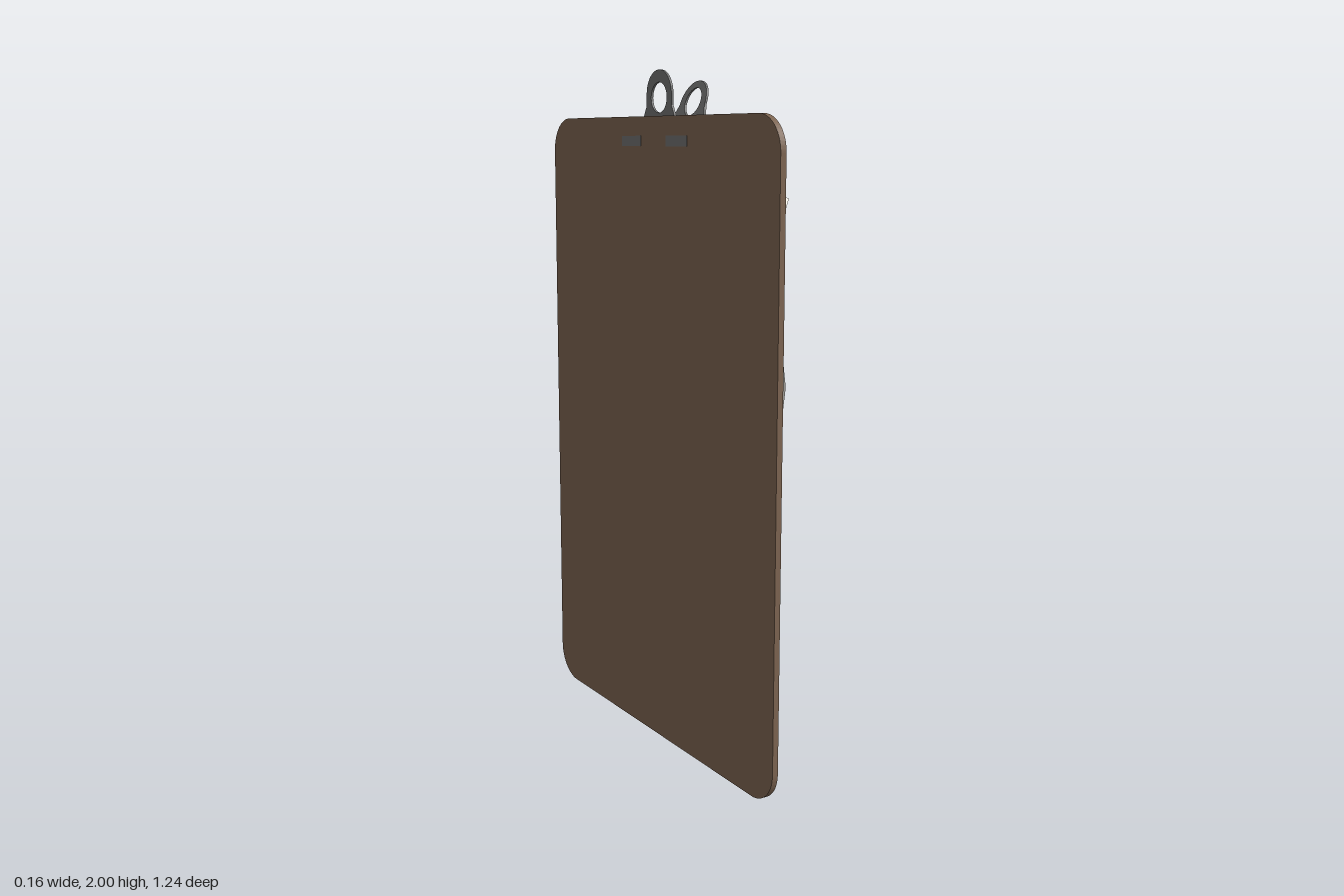
import * as THREE from 'three';
import { toCreasedNormals } from 'three/addons/utils/BufferGeometryUtils.js';

const mat = (name, color, side = THREE.FrontSide) =>
  Object.assign(new THREE.MeshStandardMaterial({ color, side }), { name });

// Symmetric plate outline: lower half-points (bottom to neck), then a round loop on top with a hole
function clipShape(half, loopY, loopR, holeY, holeR) {
  const s = new THREE.Shape();
  s.moveTo(-half[0][0], half[0][1]);
  half.forEach(([u, v]) => s.lineTo(u, v));
  s.absarc(0, loopY, loopR, 0, Math.PI, false);
  [...half].reverse().forEach(([u, v]) => s.lineTo(-u, v));
  const hole = new THREE.Path();
  hole.absarc(0, holeY, holeR, 0, Math.PI * 2, true);
  s.holes.push(hole);
  return s;
}

function roundedRect(x0, y0, x1, y1, r) {
  const s = new THREE.Shape();
  s.absarc(x1 - r, y0 + r, r, -Math.PI / 2, 0);
  s.absarc(x1 - r, y1 - r, r, 0, Math.PI / 2);
  s.absarc(x0 + r, y1 - r, r, Math.PI / 2, Math.PI);
  s.absarc(x0 + r, y0 + r, r, Math.PI, Math.PI * 1.5);
  return s;
}

const extrude = (shape, depth) =>
  new THREE.ExtrudeGeometry(shape, { depth, bevelEnabled: false, curveSegments: 14 });

export function createModel() {
  const wood = mat('brown hardboard', 0x7a624f);
  const paperMat = mat('off-white paper', 0xe4e1d8, THREE.DoubleSide);
  const metal = mat('grey metal', 0x6e6e6e, THREE.DoubleSide);

  // Built with the writing face towards +z, then turned to face +x
  const board = new THREE.Group();
  board.name = 'clipboard';
  board.rotation.y = Math.PI / 2;
  const add = (name, geometry, material, parent = board) => {
    const m = new THREE.Mesh(geometry, material);
    m.name = name;
    parent.add(m);
    return m;
  };

  // Backing board
  const slab = toCreasedNormals(extrude(roundedRect(-0.62, 0, 0.62, 1.87, 0.1), 0.018), 0.6);
  add('backingBoard', slab, wood).position.z = -0.082;

  // Paper: coarse grid with lifted edges and one folded corner
  const us = [-0.58, -0.5, -0.25, 0.05, 0.3, 0.48, 0.568];
  const vs = [1.68, 1.59, 1.32, 1.16, 1.0, 0.6, 0.3, 0.15, 0.09];
  const sheet = new THREE.PlaneGeometry(1, 1, us.length - 1, vs.length - 1);
  const p = sheet.attributes.position;
  for (let i = 0; i < p.count; i++) {
    const c = i % us.length, r = Math.floor(i / us.length);
    let u = us[c], v = vs[r], w = -0.048;
    if (c === 0 && r === 0) [u, v, w] = [-0.535, 1.652, 0.008];       // folded corner
    if (c === 0 && r === 3) { u += 0.012; w += 0.03; }                // lifted left edge
    if (c === 0 && r === 8) { u += 0.01; w += 0.012; }
    if (c >= 5 && r > 5) {                                            // curling lower right corner
      const k = (0.6 - v) / 0.51;
      if (c === 6) u -= 0.028 * k;
      w += (c === 6 ? 0.033 : 0.008) * k;
      if (c === 6 && r === 8) v += 0.012;
    }
    p.setXYZ(i, u, v, w);
  }
  sheet.computeVertexNormals();
  add('paperSheet', toCreasedNormals(sheet, 0.6), paperMat);

  // Clip
  const clip = new THREE.Group();
  clip.name = 'clip';
  board.add(clip);

  // Base plate with hanging loop
  const base = clipShape(
    [[0.29, 1.757], [0.29, 1.785], [0.22, 1.795], [0.13, 1.84], [0.085, 1.868], [0.068, 1.9]],
    1.932, 0.068, 1.922, 0.043);
  add('clipBase', extrude(base, 0.007), metal, clip).position.z = -0.064;

  // Pressing lever, leaning away from the board towards the top
  const leverW = v => -0.03 + (v - 1.69) * 0.365;
  const lever = extrude(clipShape(
    [[0.285, 1.69], [0.25, 1.715], [0.19, 1.745], [0.145, 1.762], [0.14, 1.825],
      [0.115, 1.84], [0.085, 1.868], [0.068, 1.9]],
    1.905, 0.067, 1.912, 0.04), 0.007);
  const lp = lever.attributes.position;
  for (let i = 0; i < lp.count; i++) lp.setZ(i, lp.getZ(i) + leverW(lp.getY(i)));
  lever.computeVertexNormals();
  add('clipLever', lever, metal, clip);

  // Curved gripping jaw: rows of half width, height, depth
  const rows = [[0.285, 1.69, -0.024], [0.31, 1.677, -0.02], [0.325, 1.665, -0.019],
    [0.328, 1.652, -0.022], [0.328, 1.64, -0.032], [0.328, 1.632, -0.045]];
  const jaw = new THREE.PlaneGeometry(2, 1, 1, rows.length - 1);
  const jp = jaw.attributes.position;
  for (let i = 0; i < jp.count; i++) {
    const [h, v, w] = rows[Math.floor(i / 2)];
    jp.setXYZ(i, i % 2 ? h : -h, v, w);
  }
  jaw.computeVertexNormals();
  add('clipJaw', jaw, metal, clip);

  // Spring rod between the cheeks
  const rod = new THREE.CylinderGeometry(0.016, 0.016, 0.32, 14).rotateZ(Math.PI / 2);
  add('springRod', rod, metal, clip).position.set(0, 1.808, -0.03);

  // Cheek outline in depth and height
  const cheek = new THREE.Shape([[-0.06, 1.757], [-0.045, 1.757], [0.018, 1.81],
    [0.015, 1.825], [-0.06, 1.848]].map(([w, v]) => new THREE.Vector2(w, v)));

  for (const s of [-1, 1]) {
    const cg = extrude(cheek, 0.008).rotateY(-Math.PI / 2);
    add('cheek', cg, metal, clip).position.x = s * 0.133 + 0.004;

    // Rounded tab, rising slightly away from the board
    const tab = extrude(roundedRect(-0.04, 0, 0.04, 0.088, 0.022), 0.007).rotateX(Math.PI / 2);
    const tabMesh = add('sideTab', tab, metal, clip);
    tabMesh.position.set(s * 0.25, 1.764, -0.064);
    tabMesh.rotation.x = -0.36;

    // Sloping brace between cheek and tab
    const brace = new THREE.BoxGeometry(0.11, 0.012, 0.02);
    const braceMesh = add('brace', brace, metal, clip);
    braceMesh.position.set(s * 0.18, 1.812, -0.05);
    braceMesh.rotation.z = -s * 0.42;

    // Rivet tab showing on the back of the board
    add('rivetTab', new THREE.BoxGeometry(0.11, 0.03, 0.006), metal, clip)
      .position.set(s * 0.125, 1.8, -0.081);
  }

  const model = new THREE.Group();
  model.name = 'model';
  model.add(board);
  return model;
}
